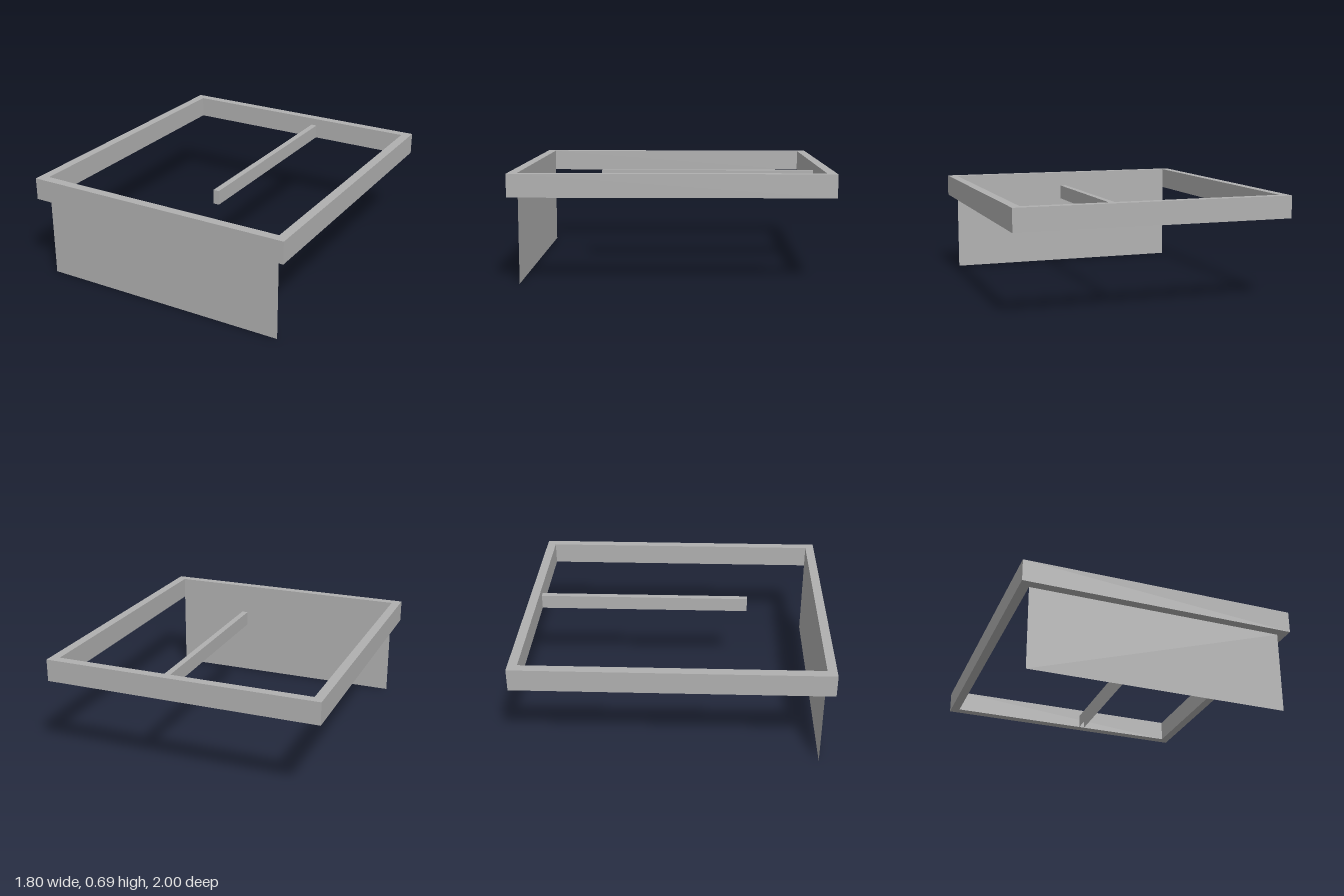
import * as THREE from 'three';

const W = 1.8, D = 2, T = 0.06;      // frame footprint and rail thickness
const BOTTOM = 0.545, TOP = 0.69;    // frame heights

export function createModel() {
  const group = new THREE.Group();
  const grey = new THREE.MeshStandardMaterial({ color: 0xb0b0b0 });
  grey.name = 'grey';
  grey.side = THREE.DoubleSide;

  const add = (name, geometry, x = 0, y = 0, z = 0) => {
    const mesh = new THREE.Mesh(geometry, grey);
    mesh.name = name;
    mesh.position.set(x, y, z);
    group.add(mesh);
    return mesh;
  };
  const rectangle = (Type, w, h) => new Type([
    new THREE.Vector2(-w / 2, -h / 2), new THREE.Vector2(w / 2, -h / 2),
    new THREE.Vector2(w / 2, h / 2), new THREE.Vector2(-w / 2, h / 2),
  ]);

  // Rectangular frame, one outline with a hole, laid flat
  const outline = rectangle(THREE.Shape, W, D);
  outline.holes.push(rectangle(THREE.Path, W - 2 * T, D - 2 * T));
  const frame = new THREE.ExtrudeGeometry(outline, { depth: TOP - BOTTOM, bevelEnabled: false });
  frame.rotateX(-Math.PI / 2);
  add('frame', frame, 0, BOTTOM, 0);

  // Thin sheet hanging down from the inner face of the front rail
  add('frontPanel', new THREE.PlaneGeometry(W - 2 * T, BOTTOM), 0, BOTTOM / 2, D / 2 - T);

  // Divider rail from the back: a hollow channel, open underneath
  const back = -D / 2 + T, front = 0.485, w = 0.04, h = 0.095;
  const length = front - back;
  const rail = new THREE.BoxGeometry(w, h, length);
  const { start, count } = rail.groups[3];   // bottom face
  const index = Array.from(rail.index.array);
  index.splice(start, count);
  rail.setIndex(index);
  rail.clearGroups();
  add('dividerRail', rail, 0.145, BOTTOM + h / 2, (front + back) / 2);

  return group;
}
